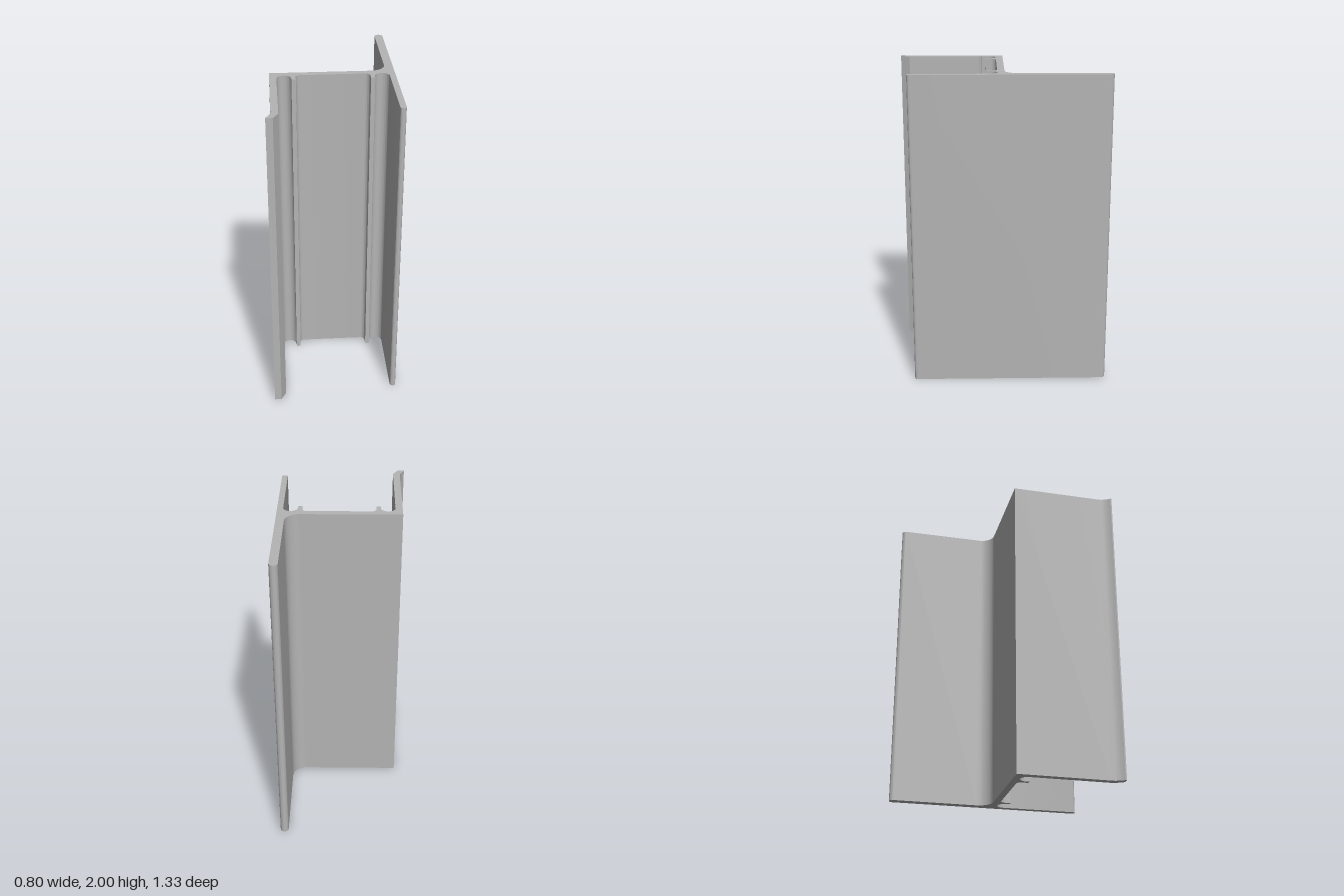
import * as THREE from 'three';
import { toCreasedNormals } from 'three/addons/utils/BufferGeometryUtils.js';

const LENGTH = 2;

// Cross-section of the extruded bar; shape y points to the back (-z)
function profile() {
  const s = new THREE.Shape();
  const line = (...pts) => pts.forEach(([x, y]) => s.lineTo(x, y));
  const PI = Math.PI;

  // rear flange with rounded tip and filleted root
  s.moveTo(0.4, -0.56);
  line([0.4, 0.64]);
  s.absarc(0.3735, 0.64, 0.0265, 0, PI, false);
  line([0.347, 0.1]);
  s.absarc(0.257, 0.1, 0.09, 0, -PI / 2, true);

  // back of the web, then the outer face of the leg with a flared foot
  line([-0.372, 0.01], [-0.372, -0.58]);
  s.quadraticCurveTo(-0.374, -0.62, -0.402, -0.657);
  line([-0.402, -0.665], [-0.36, -0.665], [-0.328, -0.607], [-0.328, -0.142]);

  // small score groove on the inner face of the leg
  s.absarc(-0.328, -0.136, 0.006, -PI / 2, -1.5 * PI, true);
  line([-0.328, -0.08]);

  // screw channel and lip beside the leg
  s.absarc(-0.283, -0.08, 0.045, PI, 0, true);
  line([-0.238, -0.105], [-0.211, -0.105], [-0.211, -0.065]);
  s.absarc(-0.181, -0.065, 0.03, PI, PI / 2, true);

  // front of the web, second lip and channel
  line([0.215, -0.035]);
  s.absarc(0.215, -0.065, 0.03, PI / 2, 0, true);
  line([0.245, -0.105], [0.271, -0.105], [0.271, -0.08]);
  s.absarc(0.317, -0.08, 0.046, PI, 0, true);

  // front flange with rounded tip
  line([0.363, -0.56]);
  s.absarc(0.3815, -0.56, 0.0185, PI, 2 * PI, false);
  return s;
}

export function createModel() {
  const aluminium = new THREE.MeshStandardMaterial({ color: 0xb4b4b4 });
  aluminium.name = 'aluminium grey';

  const geometry = new THREE.ExtrudeGeometry(profile(), {
    depth: LENGTH, bevelEnabled: false, curveSegments: 16,
  });
  geometry.rotateX(-Math.PI / 2);

  const bar = new THREE.Mesh(toCreasedNormals(geometry, Math.PI / 7), aluminium);
  bar.name = 'extrudedBar';

  const model = new THREE.Group();
  model.name = 'channelProfile';
  model.add(bar);
  return model;
}
